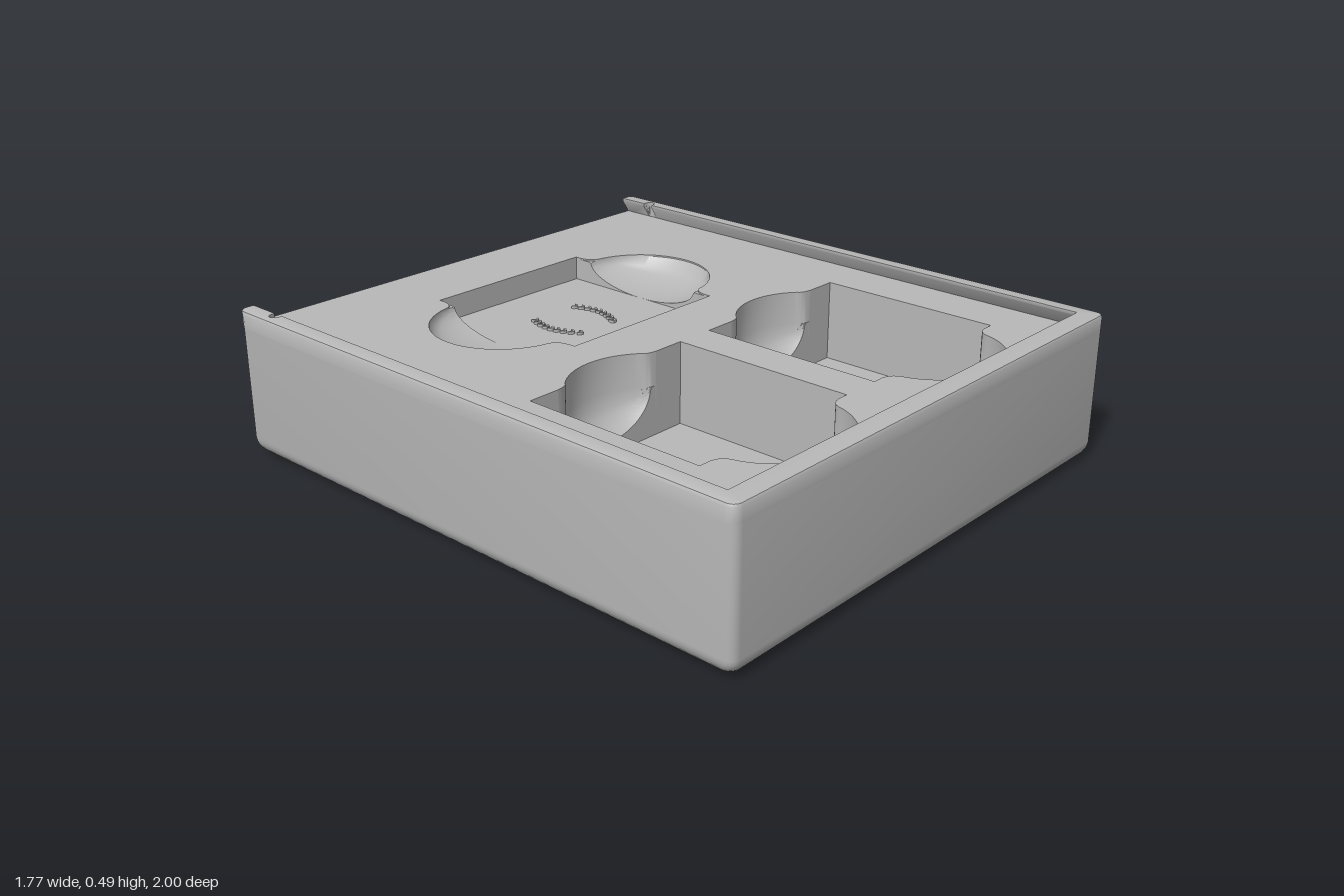
import * as THREE from 'three';
import { toCreasedNormals } from 'three/addons/utils/BufferGeometryUtils.js';

const HX = 0.885, HZ = 1, TOP = 0.485, DECK = 0.43, R = 0.03;
const V = (x, y, z) => new THREE.Vector3(x, y, z);

// Surface through columns of points
function grid(cols, flip = false) {
  const pos = [];
  const tri = (a, b, c) => (flip ? [a, c, b] : [a, b, c]).forEach(p => pos.push(p.x, p.y, p.z));
  for (let i = 0; i + 1 < cols.length; i++) {
    for (let j = 0; j + 1 < cols[i].length; j++) {
      tri(cols[i][j], cols[i + 1][j], cols[i + 1][j + 1]);
      tri(cols[i][j], cols[i + 1][j + 1], cols[i][j + 1]);
    }
  }
  const g = new THREE.BufferGeometry();
  g.setAttribute('position', new THREE.Float32BufferAttribute(pos, 3));
  return toCreasedNormals(g, 0.6);
}

// Rounded rectangle as [x, z] points
function outline(hx, hz) {
  const pts = [];
  for (let k = 0; k < 4; k++) {
    const sx = k === 0 || k === 3 ? 1 : -1, sz = k < 2 ? 1 : -1;
    for (let i = 0; i <= 5; i++) {
      const a = (k + i / 5) * Math.PI / 2;
      pts.push([sx * (hx - R) + R * Math.cos(a), sz * (hz - R) + R * Math.sin(a)]);
    }
  }
  return pts;
}

// Rim of a finger scoop as [across, outward] points, with flared shoulders
function scoopRim({ w, r, shoulder, flare }, half) {
  const wj = half + shoulder, vj = Math.sqrt(r * r - (wj - w) ** 2);
  const curve = new THREE.QuadraticBezierCurve(
    new THREE.Vector2(-vj - flare, half), new THREE.Vector2(-vj - 0.006, half + 0.005), new THREE.Vector2(-vj, wj));
  const left = curve.getPoints(6).map(p => [p.x, p.y]);
  const a0 = Math.atan2(wj - w, -vj), a1 = Math.PI - a0, arc = [];
  for (let i = 1; i < 32; i++) {
    const a = a0 + (a1 - a0) * i / 32;
    arc.push([r * Math.cos(a), w + r * Math.sin(a)]);
  }
  return [...left, ...arc, ...left.map(([v, u]) => [-v, u]).reverse()];
}

export function createModel() {
  const model = new THREE.Group();
  const grey = new THREE.MeshStandardMaterial({ color: 0xb8b8b8, side: THREE.DoubleSide });
  grey.name = 'light grey';
  const add = (name, geometry, parent = model) => {
    const m = new THREE.Mesh(geometry, grey);
    m.name = name;
    parent.add(m);
    return m;
  };
  const flat = (pts, holes = []) => {
    const vec = list => list.map(([x, z]) => new THREE.Vector2(x, -z));
    const s = new THREE.Shape(vec(pts));
    holes.forEach(h => s.holes.push(new THREE.Path(vec(h))));
    return new THREE.ShapeGeometry(s).rotateX(-Math.PI / 2);
  };

  // Outer walls with a rounded bottom edge
  const B = 0.06, levels = [[0, DECK]];
  for (let i = 0; i <= 8; i++) {
    const a = i / 8 * Math.PI / 2;
    levels.push([B * (1 - Math.cos(a)), B * (1 - Math.sin(a))]);
  }
  const rings = levels.map(([o, y]) => outline(HX - o, HZ - o).map(([x, z]) => V(x, y, z)));
  const columns = rings[0].map((_, i) => rings.map(r => r[i]));
  add('outerWalls', grid([...columns, columns[0]]));
  const base = new THREE.Shape(outline(HX - B, HZ - B).map(p => new THREE.Vector2(...p)));
  add('bottom', new THREE.ShapeGeometry(base).rotateX(Math.PI / 2));

  // Pocket: square well with bowl-shaped scoops on two opposite sides
  const half = 0.31, holes = [];
  function pocket(name, cx, cz, floor, bowlTop, scoops) {
    const group = new THREE.Group();
    group.name = name;
    model.add(group);
    const contour = [];
    for (let k = 0; k < 4; k++) {
      const c = [1, 0, -1, 0][k], s = [0, 1, 0, -1][k];
      const at = (v, w, y) => V(cx + c * w - s * v, y, cz + s * w + c * v);
      const wall = (v0, v1) => add('wellWall',
        grid([v0, v1].map(v => [at(v, half, DECK), at(v, half, floor)]), true), group);
      const rim = scoops[k] ? scoopRim(scoops[k], half) : [];
      [[-half, half], ...rim].forEach(([v, w]) => { const p = at(v, w, 0); contour.push([p.x, p.z]); });
      if (!scoops[k]) { wall(-half, half); continue; }
      wall(-half, rim[0][0]);
      wall(rim[rim.length - 1][0], half);
      const { w: wc, r } = scoops[k], n = 14;
      add('fingerScoop', grid(rim.map(([v, w]) => {
        const col = [at(v, w, DECK)];
        for (let j = 0; j <= n; j++) {
          const u = w + (half - w) * (1 - (1 - j / n) ** 2 * 1) ** 1;
          const d = Math.min(1, Math.hypot(v, u - wc) / r);
          col.push(at(v, u, bowlTop - (bowlTop - floor) * Math.sqrt(1 - d * d)));
        }
        col.push(at(v, half, floor));
        return col;
      }), true), group);
    }
    holes.push(contour);
    const f = add('wellFloor', new THREE.PlaneGeometry(2 * half, 2 * half).rotateX(-Math.PI / 2), group);
    f.position.set(cx, floor, cz);
    return group;
  }

  // Thin pointed leaf lying flat, from its base along an angle
  function leaf(parent, x, y, z, angle, length, width, height) {
    const s = new THREE.Shape();
    s.moveTo(0, 0);
    s.quadraticCurveTo(length * 0.55, width, length, 0);
    s.quadraticCurveTo(length * 0.55, -width, 0, 0);
    const g = new THREE.ExtrudeGeometry(s, { depth: height, bevelEnabled: false, curveSegments: 8 });
    const m = add('leaf', g.rotateX(-Math.PI / 2).rotateY(angle), parent);
    m.position.set(x, y, z);
  }

  // Wide shallow pocket with a wreath
  const side = { w: 0.305, r: 0.238, shoulder: 0.036, flare: 0.055 };
  const wide = pocket('widePocket', 0, -0.42, 0.35, DECK - 0.005, { 0: side, 2: side });
  for (const s of [-1, 1]) {
    for (let i = 0; i < 9; i++) {
      const t = i / 8;
      const x = s * (0.05 + 0.03 * t + 0.045 * Math.sin(Math.PI * (0.15 + 0.75 * t)));
      for (const spread of [-0.6, 0.6]) {
        leaf(wide, x, 0.35, -0.315 - 0.19 * t, Math.PI / 2 - s * (0.5 - 0.8 * t) + spread, 0.022, 0.009, 0.009);
      }
    }
  }

  // Two deep pockets with a leaf sprig on the floor
  const front = { w: 0.285, r: 0.235, shoulder: 0.05, flare: 0.05 };
  const rear = { w: 0.155, r: 0.235, shoulder: 0.02, flare: 0.045 };
  for (const x of [-0.378, 0.374]) {
    const g = pocket('deepPocket', x, 0.41, 0.16, 0.32, { 1: front, 3: rear });
    for (const [a, l] of [[90, 0.14], [138, 0.14], [208, 0.12]]) {
      leaf(g, x - 0.005, 0.16, 0.445, a * Math.PI / 180, l, 0.045, 0.004);
    }
    const stem = add('stem', new THREE.BoxGeometry(0.13, 0.004, 0.006), g);
    stem.position.set(x + 0.05, 0.162, 0.48);
    stem.rotation.y = -0.58;
  }
  add('deck', flat(outline(HX, HZ), holes)).position.y = DECK;

  // Undercut lid rail around three sides, open at the back, with detent notches
  const profile = [[0, DECK], [0, 0.475], [0.004, 0.482], [0.012, TOP], [0.055, TOP], [0.055, 0.474], [0.027, DECK]];
  const straight = (z, min = 0, max = 1) => profile.map(([o, y]) =>
    V(-(HX - Math.min(max, Math.max(min, o))), y, z));
  const stations = [straight(-1, 0.02), straight(-0.992, 0.007), straight(-0.975), straight(-0.89)];
  for (let i = 0; i <= 8; i++) {
    const a = i / 8 * Math.PI;
    stations.push(straight(-0.87 - 0.018 * Math.cos(a), 0, 0.045 - 0.02 * Math.sin(a)));
  }
  stations.push(straight(-0.85));
  for (let i = 0; i <= 5; i++) {
    const a = i / 5 * Math.PI / 2;
    stations.push(profile.map(([o, y]) => o < R
      ? V(-(HX - R) - (R - o) * Math.cos(a), y, HZ - R + (R - o) * Math.sin(a))
      : V(-(HX - o), y, HZ - o * 1.25)));
  }
  const mirrored = stations.map(st => st.map(p => V(-p.x, p.y, p.z))).reverse();
  add('lidRail', grid([...stations, ...mirrored]));
  for (const s of [-1, 1]) {
    const end = new THREE.Shape(stations[0].map(p => new THREE.Vector2(s * p.x, p.y)));
    const cap = add('railEnd', new THREE.ShapeGeometry(end).rotateY(Math.PI));
    cap.position.z = -1;
  }
  return model;
}
